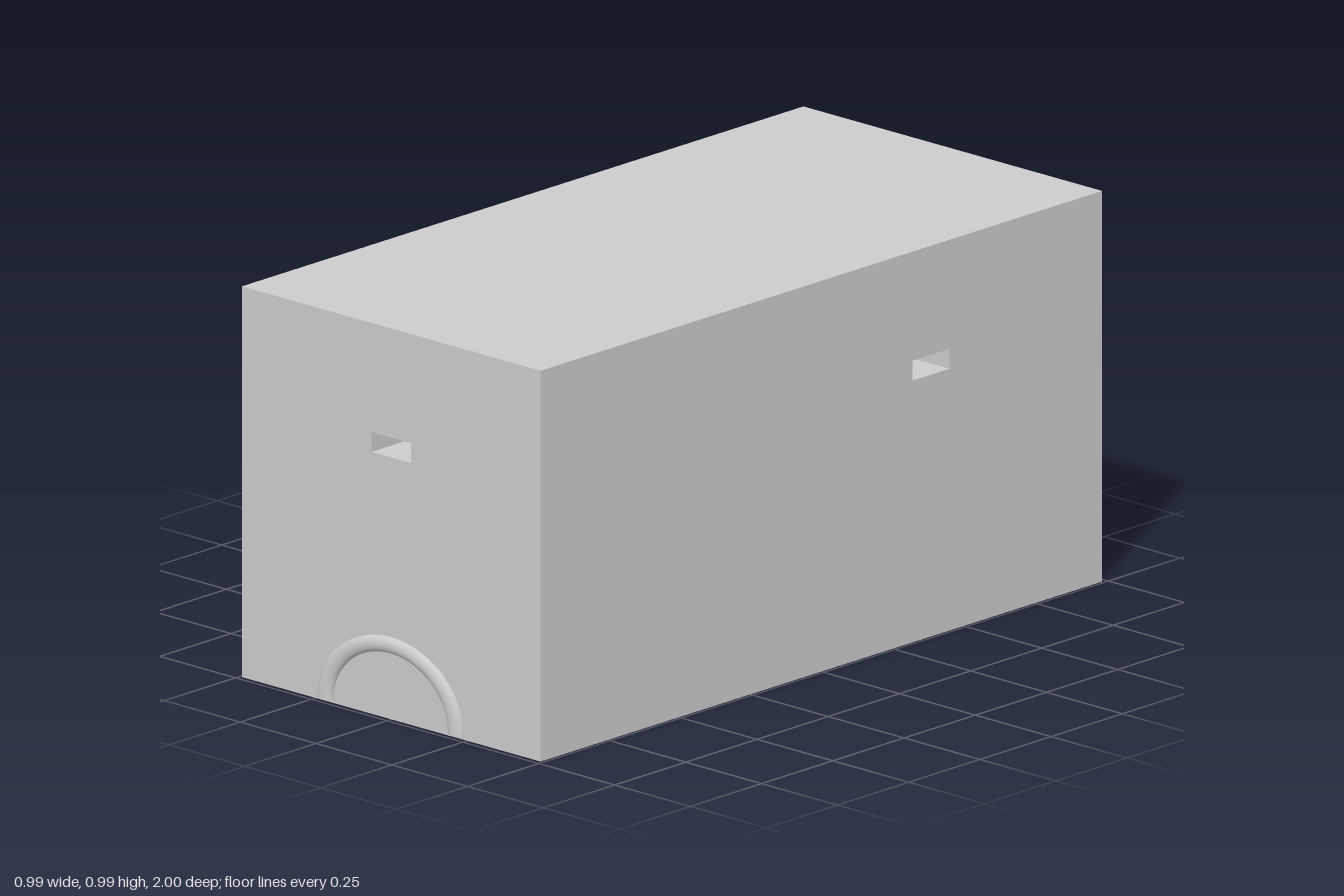
import * as THREE from 'three';

const W = 0.985, H = 0.985, L = 1.971;
const SLOT_W = 0.13, SLOT_H = 0.05, SLOT_Y = 0.685, SLOT_DEPTH = 0.12;
const grey = new THREE.MeshStandardMaterial({ color: 0xcccccc });

function addMesh(parent, name, geometry) {
  const mesh = new THREE.Mesh(geometry, grey);
  mesh.name = name;
  parent.add(mesh);
  return mesh;
}

// Inward-facing box whose +z side is left open
function pocketGeometry() {
  const geo = new THREE.BoxGeometry(SLOT_W, SLOT_H, SLOT_DEPTH);
  const index = Array.from(geo.index.array);
  index.splice(4 * 6, 6);
  geo.setIndex(index.reverse());
  geo.clearGroups();
  geo.computeVertexNormals();
  return geo;
}

// Upright wall facing local +z, with one recessed hand slot
function wall(name, width, distance, slotX, turn) {
  const group = new THREE.Group();
  group.name = name;
  const shape = new THREE.Shape([[-1, 0], [1, 0], [1, 1], [-1, 1]]
    .map(([x, y]) => new THREE.Vector2(x * width / 2, y * H)));
  shape.holes.push(new THREE.Path([[-1, -1], [-1, 1], [1, 1], [1, -1]]
    .map(([x, y]) => new THREE.Vector2(slotX + x * SLOT_W / 2, SLOT_Y + y * SLOT_H / 2))));
  addMesh(group, 'wallPanel', new THREE.ShapeGeometry(shape)).position.z = distance;
  addMesh(group, 'handSlot', pocketGeometry())
    .position.set(slotX, SLOT_Y, distance - SLOT_DEPTH / 2);
  group.rotation.y = turn;
  return group;
}

// Flattened half ring set into an end wall
function arch(name, turn) {
  const group = new THREE.Group();
  group.name = name;
  const R = 0.2155, r = 0.0245;
  const body = new THREE.Group();
  body.position.set(0, 0.008, L / 2);
  body.scale.set(1, 0.83, 0.59);
  addMesh(body, 'archRing', new THREE.TorusGeometry(R, r, 24, 64, Math.PI));
  for (const side of [-1, 1]) {
    const cap = addMesh(body, 'archEnd', new THREE.CircleGeometry(r, 24));
    cap.rotation.x = Math.PI / 2;
    cap.position.x = side * R;
  }
  group.add(body);
  group.rotation.y = turn;
  return group;
}

export function createModel() {
  const model = new THREE.Group();
  model.name = 'box';

  // Top and bottom
  const top = addMesh(model, 'topPanel', new THREE.PlaneGeometry(W, L));
  top.rotation.x = -Math.PI / 2;
  top.position.y = H;
  const bottom = addMesh(model, 'bottomPanel', new THREE.PlaneGeometry(W, L));
  bottom.rotation.x = Math.PI / 2;

  // The two halves repeat under a half turn
  for (const [end, side, turn] of [['front', 'left', 0], ['back', 'right', Math.PI]]) {
    model.add(wall(end + 'Wall', W, L / 2, 0, turn));
    model.add(wall(side + 'Wall', L, W / 2, 0.385, turn + Math.PI / 2));
    model.add(arch(end + 'Arch', turn));
  }
  return model;
}
